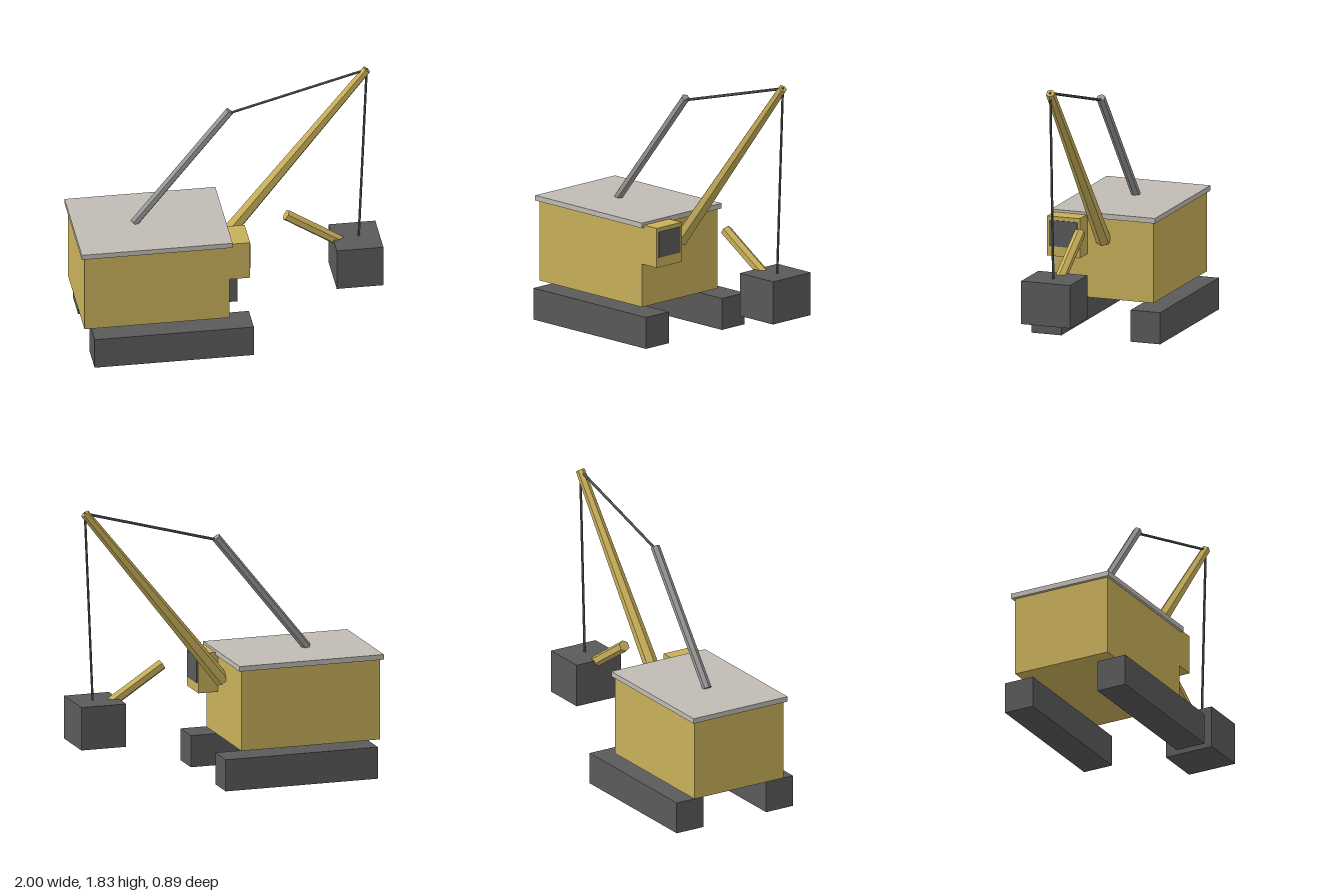
import * as THREE from 'three';

const paint = (name, color) => {
  const m = new THREE.MeshStandardMaterial({ color });
  m.name = name;
  return m;
};

export function createModel() {
  const yellow = paint('machine yellow', 0xc8b05a);
  const dark = paint('dark steel', 0x5a5a5a);
  const roofGrey = paint('roof grey', 0xc0bcb4);
  const mastGrey = paint('mast grey', 0x989898);
  const cableGrey = paint('cable grey', 0x666666);
  const model = new THREE.Group();
  model.name = 'cableExcavator';

  // Box given by its limits on each axis
  const box = (name, mat, [x0, x1], [y0, y1], [z0, z1]) => {
    const mesh = new THREE.Mesh(new THREE.BoxGeometry(x1 - x0, y1 - y0, z1 - z0), mat);
    mesh.position.set((x0 + x1) / 2, (y0 + y1) / 2, (z0 + z1) / 2);
    mesh.name = name;
    model.add(mesh);
  };

  // Six-sided beam between two points in the plane z = 0, flat sides facing +-z
  const beam = (name, mat, [ax, ay], [bx, by], rA, rB) => {
    const length = Math.hypot(bx - ax, by - ay);
    let geo = new THREE.CylinderGeometry(rB, rA, length, 6, 1, false, Math.PI / 6);
    geo = geo.toNonIndexed();
    geo.computeVertexNormals();
    const mesh = new THREE.Mesh(geo, mat);
    mesh.position.set((ax + bx) / 2, (ay + by) / 2, 0);
    mesh.rotation.z = Math.atan2(by - ay, bx - ax) - Math.PI / 2;
    mesh.name = name;
    model.add(mesh);
  };

  // Tracks
  box('leftTrack', dark, [-0.93, 0.11], [0, 0.21], [0.24, 0.445]);
  box('rightTrack', dark, [-0.93, 0.11], [0, 0.21], [-0.445, -0.24]);

  // House, roof and cab
  box('house', yellow, [-0.98, -0.033], [0.233, 0.766], [-0.342, 0.342]);
  box('roof', roofGrey, [-1, -0.015], [0.766, 0.8], [-0.36, 0.36]);
  box('cab', yellow, [-0.04, 0.102], [0.52, 0.783], [0.115, 0.341]);
  box('cabWindow', dark, [0.101, 0.108], [0.585, 0.757], [0.132, 0.326]);

  // Boom, mast and stick
  const boomTip = [0.917, 1.808];
  const mastTip = [0.022, 1.578];
  beam('boom', yellow, [-0.025, 0.622], boomTip, 0.05, 0.03);
  beam('mast', mastGrey, [-0.6, 0.8], mastTip, 0.03, 0.03);
  beam('stick', yellow, [0.39, 0.765], [0.8, 0.5], 0.037, 0.037);

  // Bucket and cables
  box('bucket', dark, [0.695, 1], [0.28, 0.565], [-0.17, 0.17]);
  beam('boomCable', cableGrey, [0.022, 1.563], boomTip, 0.009, 0.009);
  beam('hoistCable', cableGrey, boomTip, [0.865, 0.565], 0.008, 0.008);

  return model;
}
